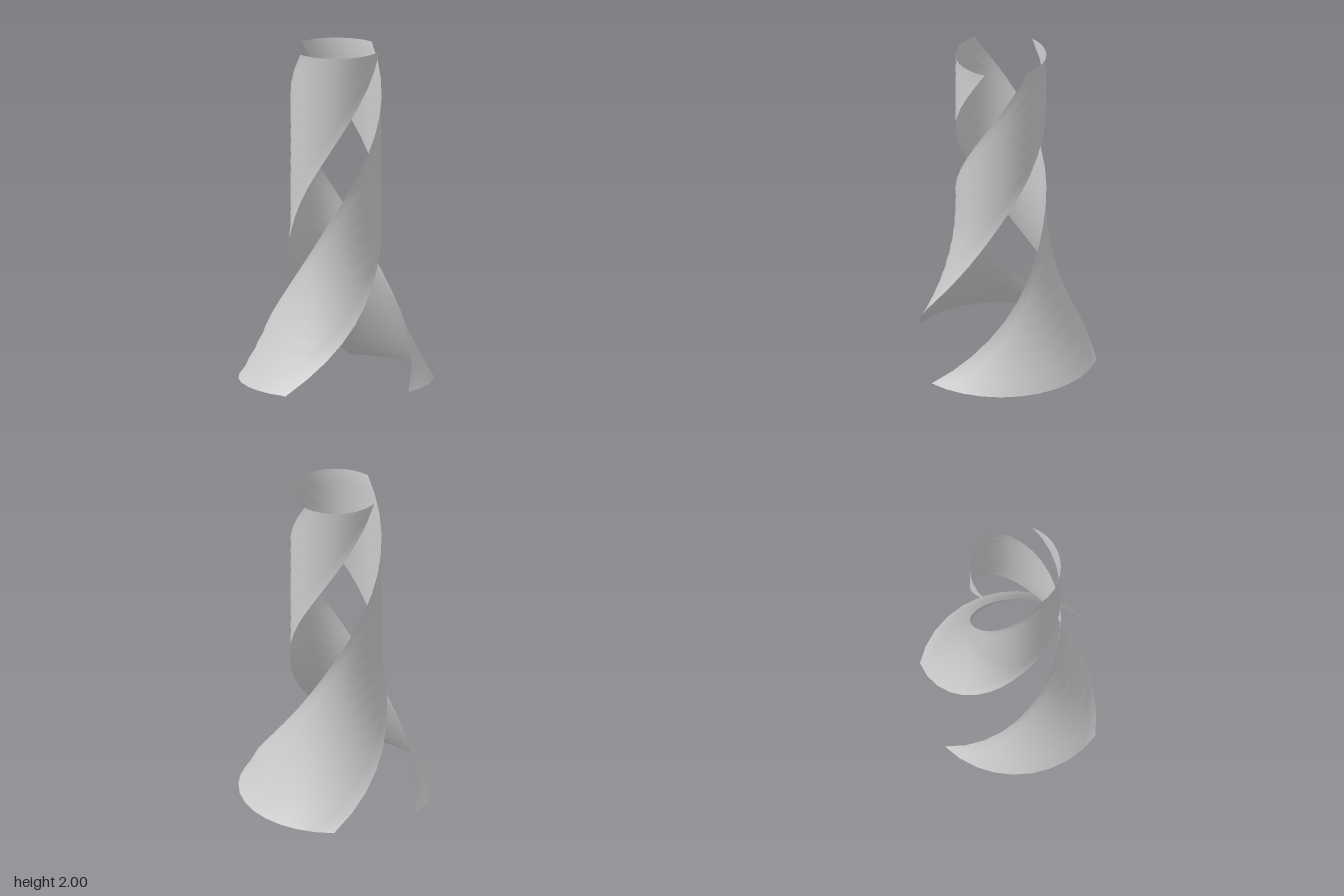
import * as THREE from 'three';

const HEIGHT = 2, SEG = 32, ROWS = 20;
const STEP = 360 / SEG;
const rad = THREE.MathUtils.degToRad;

// Radius of the body: straight tube above, flaring out to the foot
const radiusAt = y => 0.27 + 0.308 * Math.max(0, 1 - y) ** 2;
// Degrees of twist gained by height y
const twistAt = y => 118 * y + 6.2 * y * y;

// A ribbon is part of an open tube, flared and twisted row by row.
// startDeg is measured from +x towards +z at the foot.
function ribbon(name, startDeg, columns, material) {
  const width = columns * STEP;
  const geo = new THREE.CylinderGeometry(1, 1, HEIGHT, columns, ROWS, true,
    rad(90 - startDeg - width), rad(width));
  geo.translate(0, HEIGHT / 2, 0);
  const pos = geo.attributes.position;
  for (let i = 0; i < pos.count; i++) {
    const y = pos.getY(i), r = radiusAt(y);
    const a = Math.atan2(pos.getZ(i), pos.getX(i)) - rad(twistAt(y));
    pos.setXYZ(i, r * Math.cos(a), y, r * Math.sin(a));
  }
  geo.computeVertexNormals();
  const mesh = new THREE.Mesh(geo, material);
  mesh.name = name;
  return mesh;
}

export function createModel() {
  const group = new THREE.Group();
  group.name = 'twistedRibbonColumn';
  const material = new THREE.MeshStandardMaterial({ color: 0xcccccc, side: THREE.DoubleSide });
  // Two unequal ribbons winding around the same axis
  group.add(ribbon('narrowRibbon', 119.6, 9, material));
  group.add(ribbon('wideRibbon', 277.1, 11, material));
  // The unequal widths shift the axis slightly forward of the centre
  group.children.forEach(m => { m.position.z = 0.035; });
  return group;
}
